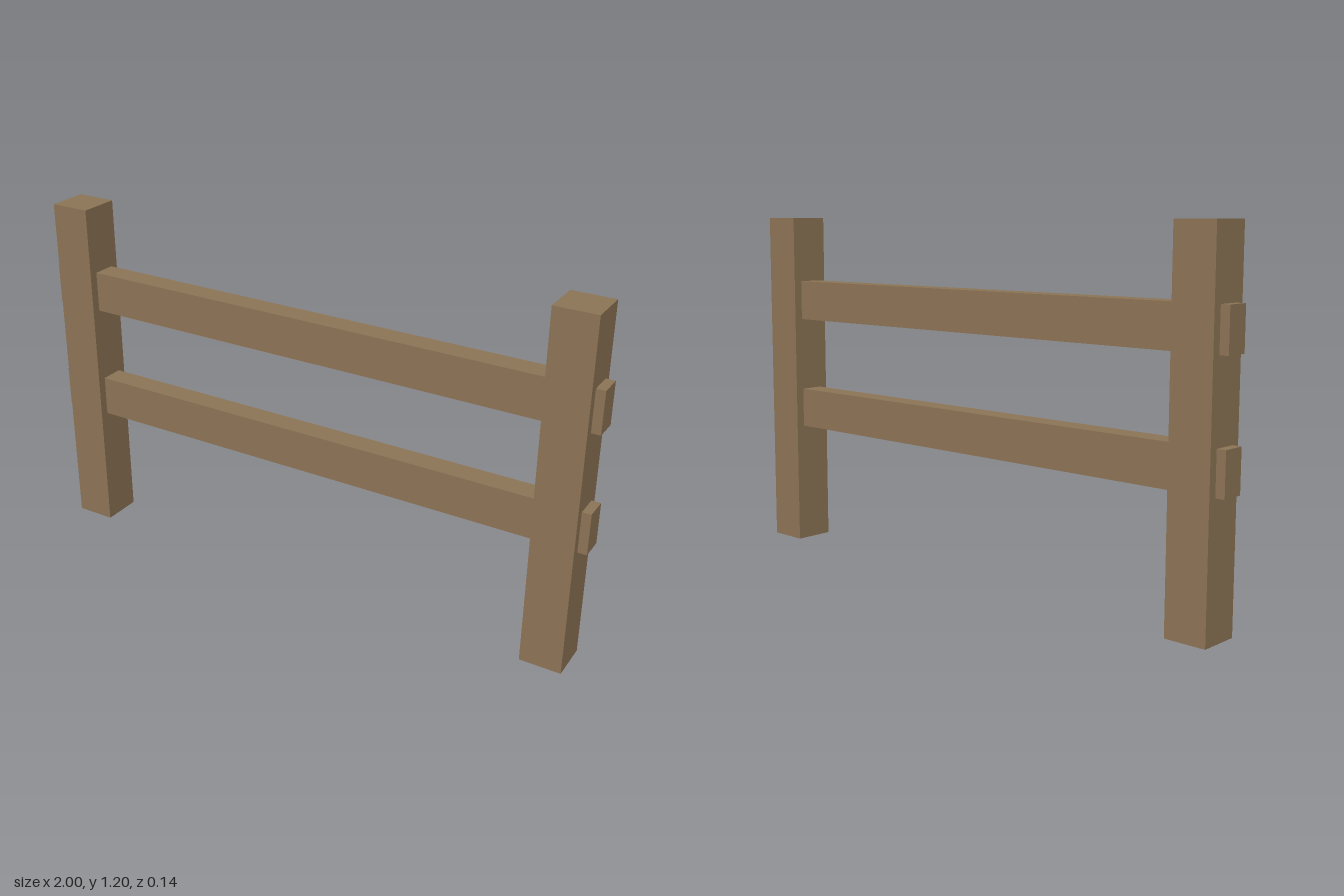
import * as THREE from 'three';

export function createModel() {
  const fence = new THREE.Group();
  fence.name = 'fence';
  const wood = new THREE.MeshStandardMaterial({ color: 0x8b7355 });

  function addBeam(name, size, position) {
    const mesh = new THREE.Mesh(new THREE.BoxGeometry(...size), wood);
    mesh.name = name;
    mesh.position.set(...position);
    fence.add(mesh);
  }

  // Square upright posts
  for (const [name, side] of [['leftPost', 1], ['rightPost', -1]]) {
    addBeam(name, [0.14, 1.2, 0.14], [side * 0.9, 0.6, 0]);
  }

  // Rails running through both posts, with their ends showing outside
  for (const [name, y] of [['lowerRail', 0.5], ['upperRail', 0.9]]) {
    addBeam(name, [2, 0.14, 0.08], [0, y, 0]);
  }

  return fence;
}
